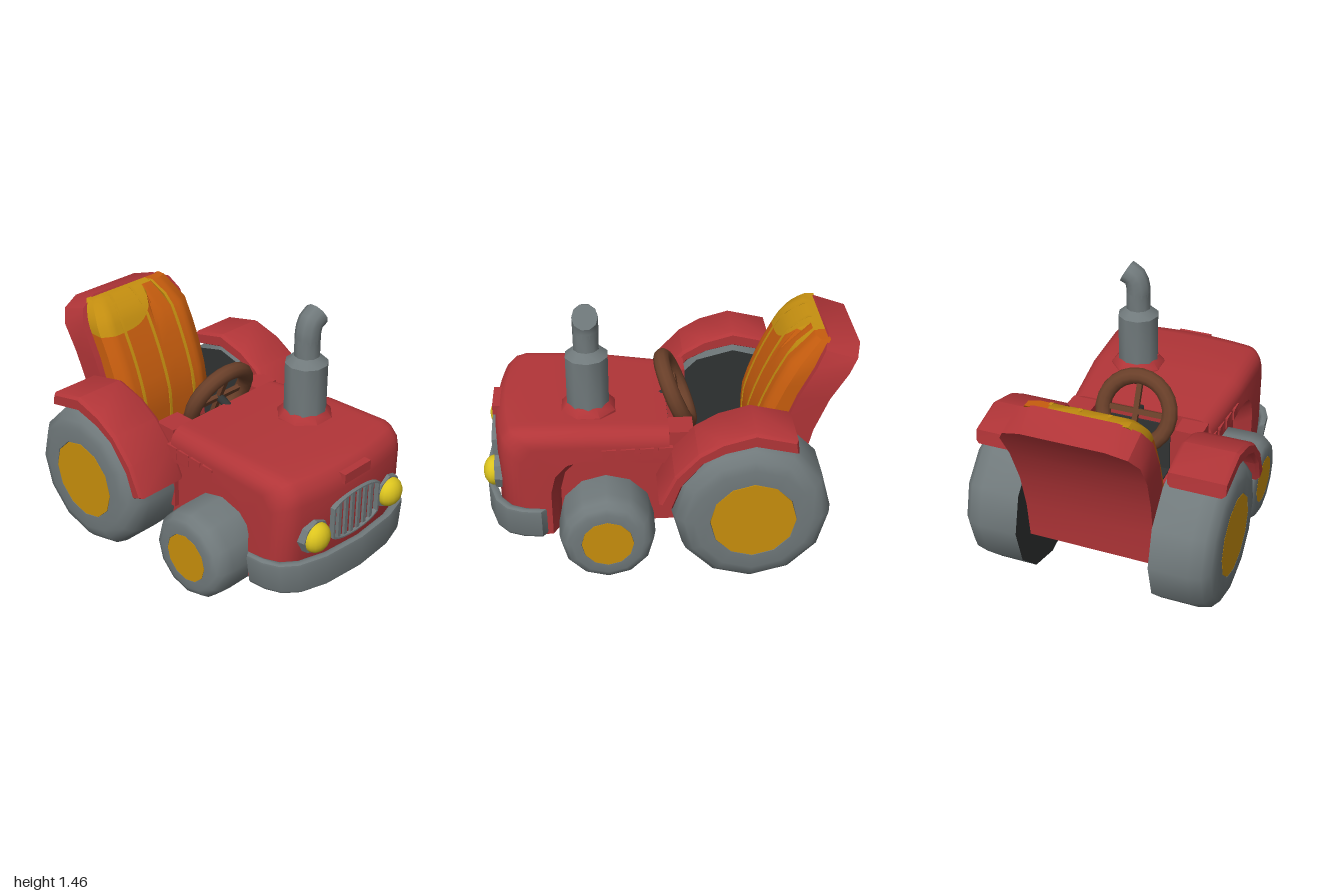
import * as THREE from 'three';
import { toCreasedNormals } from 'three/addons/utils/BufferGeometryUtils.js';

const mat = (name, color, side = THREE.FrontSide) => {
  const m = new THREE.MeshStandardMaterial({ color, side });
  m.name = name;
  return m;
};
const clamp = THREE.MathUtils.clamp;

export function createModel() {
  const red = mat('red paint', 0xb23538);
  const gray = mat('gray metal and rubber', 0x70797b, THREE.DoubleSide);
  const hubGold = mat('hub gold', 0xc98f0c);
  const orange = mat('seat orange', 0xc75d0e);
  const gold = mat('seat gold', 0xc58f10);
  const lens = mat('lens yellow', 0xdcc41e);
  const brown = mat('wheel brown', 0x693f29);
  const dark = mat('dark gray', 0x303333);

  const root = new THREE.Group();
  root.name = 'tractor';
  const add = (name, geo, m, pos = [0, 0, 0], rot = [0, 0, 0], parent = root) => {
    const mesh = new THREE.Mesh(geo, m);
    mesh.name = name;
    mesh.position.set(...pos);
    mesh.rotation.set(...rot);
    parent.add(mesh);
    return mesh;
  };
  const box = (name, m, size, pos) => add(name, new THREE.BoxGeometry(...size), m, pos);
  const shapeOf = (pts) => new THREE.Shape(pts.map((p) => new THREE.Vector2(...p)));

  // Closed loft through rings that climb in y, each ring counterclockwise from above
  const loft = (rings, crease = 0.6) => {
    const n = rings[0].length, idx = [];
    for (let i = 0; i < rings.length - 1; i++)
      for (let j = 0; j < n; j++) {
        const a = i * n + j, b = i * n + (j + 1) % n;
        idx.push(a, b, b + n, a, b + n, a + n);
      }
    const top = (rings.length - 1) * n;
    for (let j = 1; j < n - 1; j++) idx.push(0, j + 1, j, top, top + j, top + j + 1);
    const g = new THREE.BufferGeometry();
    g.setAttribute('position', new THREE.Float32BufferAttribute(rings.flat(2), 3));
    g.setIndex(idx);
    return toCreasedNormals(g, crease);
  };

  // Hood: side profile (z, y) with wheel arch, extruded across, then rounded and given a sloping arch lip by a rule
  const profile = shapeOf([[0, 0.61], [0.46, 0.67], [0.54, 0.65], [0.605, 0.58], [0.63, 0.48], [0.63, 0.21],
    [0.9, 0.21], [0.93, 0.26], [0.93, 0.72], [0.915, 0.79], [0.87, 0.835], [0.8, 0.848], [0.4, 0.838], [0, 0.8]]);
  const hood = new THREE.ExtrudeGeometry(profile, { depth: 2, steps: 28, bevelEnabled: false });
  hood.translate(0, 0, -1).rotateY(-Math.PI / 2);
  const p = hood.attributes.position;
  for (let i = 0; i < p.count; i++) {
    const s = Math.sin(p.getX(i) * Math.PI / 2), y = p.getY(i), z = p.getZ(i);
    const t = clamp((Math.abs(s) - 0.8) / 0.2, 0, 1);
    const inset = 0.09 * (1 - Math.sqrt(1 - t * t));
    const front = clamp((z - 0.72) / 0.15, 0, 1), up = clamp((y - 0.67) / 0.1, 0, 1);
    const lip = z < 0.7 && y < 0.675 ? 1 - t : 0;
    p.setXYZ(i, s * (0.47 - 0.1 * Math.max(0, 0.5 - z)),
      y - inset * up - (y > 0.4 && z > 0.1 ? 0.04 * lip : 0),
      z - (inset + 0.06 * s * s) * front - (z > 0.4 ? 0.05 * lip : 0));
  }
  hood.deleteAttribute('normal');
  hood.deleteAttribute('uv');
  add('hood', toCreasedNormals(hood, 0.7), red);

  // Inner body, cockpit sides, floor and hood catch
  box('innerBody', red, [0.74, 0.5, 0.65], [0, 0.46, 0.325]);
  box('cockpitFloor', red, [0.74, 0.22, 0.13], [0, 0.32, -0.065]);
  box('cockpitMat', dark, [0.36, 0.008, 0.16], [0, 0.434, -0.08]);
  box('dashPanel', dark, [0.36, 0.3, 0.008], [0, 0.58, -0.004]);
  for (const s of [1, -1]) box('cockpitSide', red, [0.15, 0.49, 0.13], [s * 0.325, 0.545, -0.065]);
  const plank = (y) => [[0.19, y, -0.13], [0.25, y, -0.52], [-0.25, y, -0.52], [-0.19, y, -0.13]];
  add('floorBeam', loft([plank(0.21), plank(0.4)]), red);
  box('hoodCatch', red, [0.2, 0.055, 0.11], [0, 0.778, 0.885]);

  // Side vents
  for (const s of [1, -1])
    for (let i = 0; i < 4; i++) {
      const z = 0.32 - i * 0.1, x = 0.46 - 0.1 * (0.5 - z);
      box('ventFrame', red, [0.03, 0.07, 0.065], [s * x, 0.69 - i * 0.005, z]);
      box('ventLip', red, [0.03, 0.014, 0.075], [s * (x + 0.005), 0.722 - i * 0.005, z]);
    }

  // Grille
  const barrel = (k) => {
    const s = new THREE.Shape();
    s.moveTo(-0.18 * k, -0.09 * k);
    s.quadraticCurveTo(-0.12 * k, -0.13 * k, 0, -0.13 * k);
    s.quadraticCurveTo(0.12 * k, -0.13 * k, 0.18 * k, -0.09 * k);
    s.lineTo(0.18 * k, 0.09 * k);
    s.quadraticCurveTo(0.12 * k, 0.13 * k, 0, 0.13 * k);
    s.quadraticCurveTo(-0.12 * k, 0.13 * k, -0.18 * k, 0.09 * k);
    s.closePath();
    return s;
  };
  const rim = barrel(1);
  rim.holes.push(barrel(0.94));
  add('grilleRim', new THREE.ExtrudeGeometry(rim, { depth: 0.04, bevelEnabled: false }), gray, [0, 0.55, 0.91]);
  for (let i = -3; i < 3; i++) {
    const x = (i + 0.5) * 0.05;
    box('grilleBar', gray, [0.022, 0.25 - Math.abs(x) * 0.3, 0.03], [x, 0.55, 0.928]);
  }

  // Headlights
  for (const s of [1, -1]) {
    const ring = new THREE.CylinderGeometry(0.092, 0.1, 0.05, 8).rotateX(Math.PI / 2);
    add('headlightRim', toCreasedNormals(ring, 0.3), gray, [s * 0.29, 0.52, 0.905]);
    add('headlightLens', new THREE.SphereGeometry(0.082, 16, 12), lens, [s * 0.29, 0.52, 0.932]).scale.z = 0.75;
  }

  // Wraparound bumper, wider at the top
  const arc = [[0.52, 0.69], [0.51, 0.78], [0.475, 0.86], [0.4, 0.92], [0.25, 0.965], [0, 0.985]];
  const half = (k) => arc.map(([x, z]) => [x === 0 ? 0 : x - k, -(z - k)]);
  const mirror = (a) => a.slice(0, -1).reverse().map(([x, z]) => [-x, z]);
  const outer = half(0), inner = half(0.015);
  const bumperLine = [...outer, ...mirror(outer), ...[...inner, ...mirror(inner)].reverse()];
  const bumper = new THREE.ExtrudeGeometry(shapeOf(bumperLine),
    { depth: 0.15, bevelThickness: 0.02, bevelSize: 0.013, bevelSegments: 2 });
  bumper.rotateX(-Math.PI / 2);
  const bp = bumper.attributes.position;
  for (let i = 0; i < bp.count; i++) bp.setX(i, bp.getX(i) * (0.97 + 0.26 * bp.getY(i)));
  add('bumper', toCreasedNormals(bumper, 0.7), gray, [0, 0.24, 0]);

  // Exhaust stack
  const lathe = (pts, n) => toCreasedNormals(
    new THREE.LatheGeometry(pts.map((q) => new THREE.Vector2(...q)), n).rotateY(Math.PI / n), 0.8);
  add('exhaustBase', lathe([[0.155, 0.79], [0.155, 0.84], [0.118, 0.88], [0, 0.88]], 8), red, [0.175, 0, 0.42]);
  add('exhaustMuffler', lathe([[0.117, 0.86], [0.117, 1.15], [0.07, 1.19], [0.07, 1.29]], 10), gray, [0.175, 0, 0.42]);
  const bend = new THREE.CatmullRomCurve3([[0.175, 1.27], [0.175, 1.31], [0.195, 1.375], [0.245, 1.402]]
    .map(([x, y]) => new THREE.Vector3(x, y, 0.42)));
  add('exhaustTip', new THREE.TubeGeometry(bend, 6, 0.068, 10), gray);
  const endAngle = Math.atan2(bend.getTangent(1).y, bend.getTangent(1).x);
  const endCap = new THREE.CircleGeometry(0.068, 10).rotateY(Math.PI / 2).rotateZ(endAngle);
  add('exhaustEnd', endCap, gray, [0.244, 1.401, 0.42]);

  // Wheels: tyre profile in fractions of radius and width, dark inner face, gold hub
  const tyre = [[1, 0], [1, 0.64], [0.96, 0.84], [0.86, 0.96], [0.74, 1], [0.545, 1], [0.535, 0.96], [0, 0.96]];
  const wheel = (name, R, W, x, z, s) => {
    const g = new THREE.Group();
    g.name = name;
    g.position.set(s * x, R, z);
    g.rotation.y = s > 0 ? 0 : Math.PI;
    const geo = new THREE.LatheGeometry(tyre.map(([r, w]) => new THREE.Vector2(r * R, w * W)), 12).rotateZ(-Math.PI / 2);
    add('tyre', toCreasedNormals(geo, 0.75), gray, [0, 0, 0], [0, 0, 0], g);
    add('wheelInnerFace', new THREE.CircleGeometry(R, 12).rotateY(-Math.PI / 2), dark, [0, 0, 0], [0, 0, 0], g);
    const hub = new THREE.CylinderGeometry(R * 0.537, R * 0.537, 0.02, 12).rotateZ(-Math.PI / 2);
    add('hub', toCreasedNormals(hub, 0.6), hubGold, [W - 0.01, 0, 0], [0, 0, 0], g);
    root.add(g);
  };
  // Rear fenders follow the wheel in side profile (z, y)
  const fender = shapeOf([[0.07, 0.52], [0, 0.49], [-0.05, 0.63], [-0.16, 0.765], [-0.27, 0.82], [-0.42, 0.855], [-0.645, 0.805],
    [-0.635, 0.885], [-0.42, 0.937], [-0.25, 0.89], [-0.13, 0.82], [-0.01, 0.69]]);
  for (const s of [1, -1]) {
    wheel('frontWheel', 0.257, 0.28, 0.36, 0.34, s);
    wheel('rearWheel', 0.42, 0.33, 0.37, -0.42, s);
    const geo = new THREE.ExtrudeGeometry(fender,
      { depth: 0.27, bevelThickness: 0.02, bevelSize: 0.012, bevelOffset: -0.012, bevelSegments: 1 });
    geo.translate(0, 0, -0.135).rotateY(-Math.PI / 2);
    add('fender', toCreasedNormals(geo, 0.6), red, [s * 0.535 - 0.012, 0, 0]);
  }

  // Seat back leaning rearward along a curve
  const lean = (y) => -0.54 - 0.36 * (y - 0.34) ** 2;
  const backRows = [[0.34, 0.35], [0.55, 0.355], [0.75, 0.36], [0.95, 0.368], [1.13, 0.368], [1.21, 0.325], [1.255, 0.22]];
  add('seatBack', loft(backRows.map(([y, w]) => {
    const zf = lean(y), zb = zf - 0.17, drop = 0.06 * clamp((y - 0.9) / 0.35, 0, 1);
    return [[w, y, zf], [w, y - drop, zb], [-w, y - drop, zb], [-w, y, zf]];
  })), red);

  // Cushion: four padded panels, with a gold area above a rising boundary
  const halfWidth = (y) => 0.33 - 0.06 * clamp((y - 1.1) / 0.145, 0, 1) ** 2;
  const padFront = (y, u) => lean(y) + (0.12 - 0.06 * clamp((y - 1.14) / 0.105, 0, 1) ** 2
    - 0.03 * clamp((0.7 - y) / 0.2, 0, 1)) * (1 - 0.35 * clamp((Math.abs(u) - 0.8) / 0.2, 0, 1));
  const cuts = [-1, -0.57, 0, 0.57, 1];
  const low = () => 0.5, high = () => 1.245;
  const boundary = (u) => Math.min(1.08 + 0.05 * (u + 1) ** 5, 1.244);
  const panel = (name, m, i, from, to) => {
    const rings = [], a = cuts[i], b = cuts[i + 1];
    for (let k = 0; k <= 6; k++) {
      const yAt = (u) => THREE.MathUtils.lerp(from(u), to(u), k / 6);
      const ring = [b, a].map((u) => [u * halfWidth(yAt(u)), yAt(u), lean(yAt(u)) - 0.01]);
      for (let j = 0; j <= 6; j++) {
        const u = a + (b - a) * j / 6, y = yAt(u);
        ring.push([u * halfWidth(y), y, padFront(y, u)]);
      }
      rings.push(ring);
    }
    add(name, loft(rings, 0.7), m);
  };
  for (let i = 0; i < 3; i++) {
    panel('seatCushion', orange, i, low, boundary);
    panel('seatCushionTop', gold, i, boundary, high);
  }
  panel('seatCushion', orange, 3, low, high);
  // Gold piping between the panels
  for (const u of cuts.slice(1, 4)) {
    const rings = [];
    for (let k = 0; k <= 12; k++) {
      const y = 0.5 + 0.747 * k / 12, x = u * halfWidth(y), z = padFront(y, u);
      rings.push([[x + 0.009, y, z + 0.004], [x + 0.009, y, z - 0.02], [x - 0.009, y, z - 0.02], [x - 0.009, y, z + 0.004]]);
    }
    add('seatPiping', loft(rings), gold);
  }

  // Steering wheel and column
  const steering = new THREE.Group();
  steering.name = 'steeringWheel';
  steering.position.set(0, 0.815, -0.06);
  steering.rotation.x = 0.4;
  add('steeringRim', new THREE.TorusGeometry(0.195, 0.045, 10, 24), brown, [0, 0, 0], [0, 0, 0], steering);
  for (const r of [0, Math.PI / 2])
    add('steeringSpoke', new THREE.BoxGeometry(0.03, 0.38, 0.025), brown, [0, 0, 0], [0, 0, r], steering);
  add('steeringColumn', new THREE.CylinderGeometry(0.025, 0.025, 0.1, 10), dark, [0, 0, 0.05], [Math.PI / 2, 0, 0], steering);
  root.add(steering);

  return root;
}
